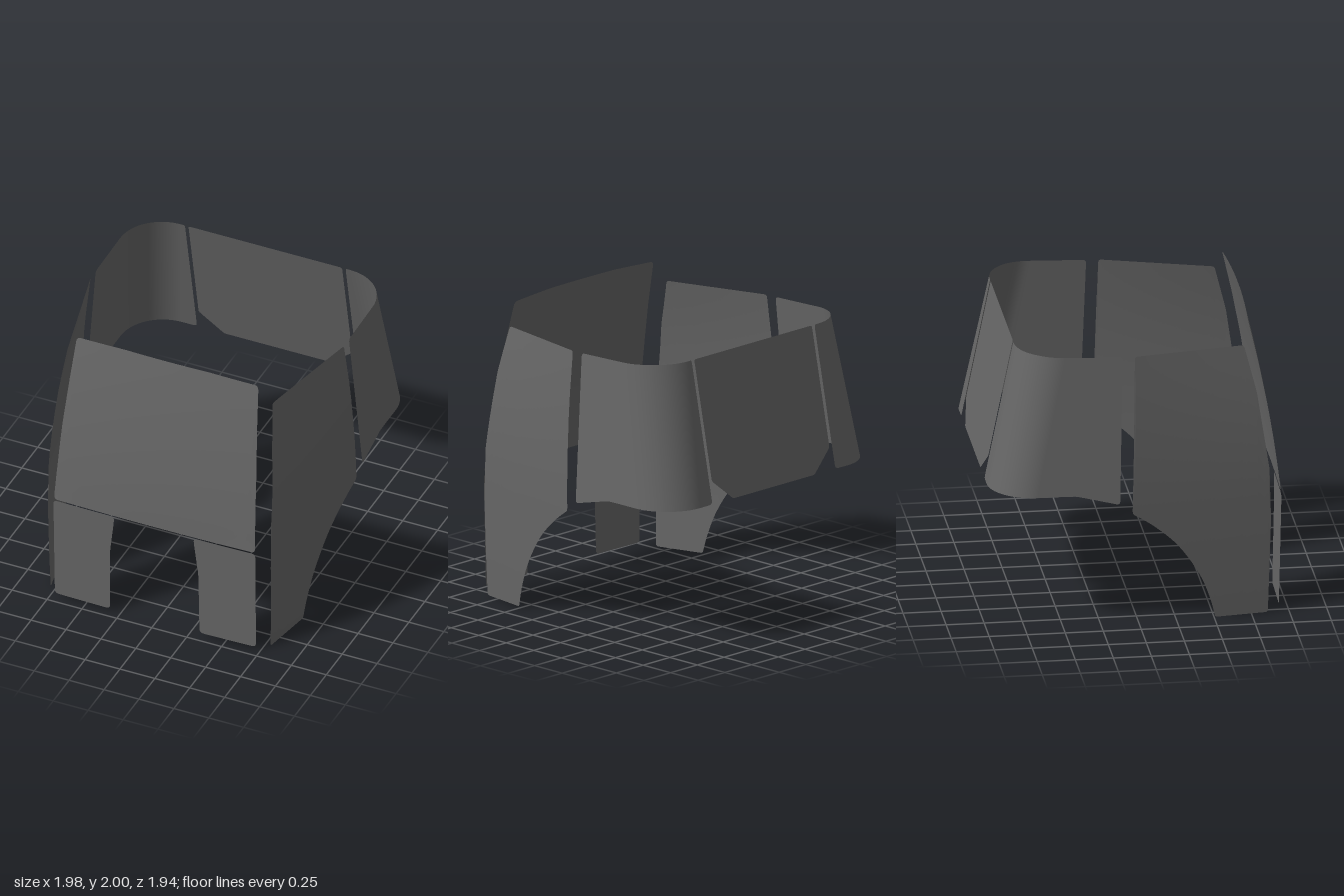
import * as THREE from 'three';

const material = new THREE.MeshStandardMaterial({ color: 0x666666, side: THREE.DoubleSide });

// Softens every corner of a closed 2D outline over distance d
function roundOutline(corners, d) {
  const pts = corners.map(([a, b]) => new THREE.Vector2(a, b));
  const out = [];
  pts.forEach((p, i) => {
    const prev = pts[(i + pts.length - 1) % pts.length];
    const next = pts[(i + 1) % pts.length];
    const cut = q => p.clone().lerp(q, Math.min(0.45, d / p.distanceTo(q)));
    out.push(...new THREE.QuadraticBezierCurve(cut(prev), p, cut(next)).getPoints(4));
  });
  return out;
}

// Lowest and highest point of the outline at column s
function span(outline, s) {
  let lo = Infinity, hi = -Infinity;
  outline.forEach((a, i) => {
    const b = outline[(i + 1) % outline.length];
    if (s < Math.min(a.x, b.x) - 1e-6 || s > Math.max(a.x, b.x) + 1e-6) return;
    const flat = Math.abs(b.x - a.x) < 1e-6;
    const ys = flat ? [a.y, b.y] : [a.y + (b.y - a.y) * (s - a.x) / (b.x - a.x)];
    lo = Math.min(lo, ...ys);
    hi = Math.max(hi, ...ys);
  });
  return [lo, hi];
}

// Thin pane: fills the outline with a grid and bends it by warp(s, y) => [x, y, z]
function pane(name, corners, warp, radius = 0.03, columns = 30, rows = 16) {
  const outline = roundOutline(corners, radius);
  const ss = outline.map(p => p.x);
  const min = Math.min(...ss), max = Math.max(...ss);
  for (let i = 1; i < columns; i++) ss.push(min + (max - min) * i / columns);
  ss.sort((a, b) => a - b);
  const cols = ss.filter((s, i) => i === 0 || s - ss[i - 1] > 1e-5);

  const positions = [], index = [];
  cols.forEach((s, i) => {
    const [lo, hi] = span(outline, s);
    for (let j = 0; j <= rows; j++) {
      positions.push(...warp(s, lo + (hi - lo) * j / rows));
      if (i === 0 || j === 0) continue;
      const d = i * (rows + 1) + j, c = d - 1, b = d - rows - 1, a = b - 1;
      index.push(a, c, d, a, d, b);
    }
  });
  const geometry = new THREE.BufferGeometry();
  geometry.setAttribute('position', new THREE.Float32BufferAttribute(positions, 3));
  geometry.setIndex(index);
  geometry.computeVertexNormals();
  const mesh = new THREE.Mesh(geometry, material);
  mesh.name = name;
  return mesh;
}

// Front surface: leans back above y = 0.8, slightly bowed across
function frontWarp(x, y) {
  const t = y - 0.8;
  const z = t > 0 ? 0.97 - 0.09 * t - 0.064 * t * t : 0.97 + 0.022 * t;
  const bow = t > 0 ? 0.027 + 0.028 * t : 0.022;
  return [x, y, z - bow * x * x];
}

// Side surface: tapers forward, curves inward above and below y = 0.8
function sideWarp(z, y) {
  const up = Math.max(0, (y - 0.8) / 1.06), down = Math.max(0, (0.8 - y) / 0.8);
  return [0.974 - 0.2 * z - (0.074 + 0.04 * z) * up * up - 0.015 * down * down, y, z];
}

const rearZ = y => -0.975 + 0.19 * (y - 0.945) / 0.94;

// Rear corner: straight side (s is -z), quarter turn, short straight back
function cornerWarp(s, y) {
  const R = 0.3, x = 0.985 - 0.08 * (y - 0.945) / 0.94, zb = rearZ(y);
  if (s < 0.43) return [x, y, -s];
  if (s < 0.5) return [x, y, THREE.MathUtils.lerp(-0.43, zb + R, (s - 0.43) / 0.07)];
  if (s < 1) {
    const a = (s - 0.5) * Math.PI;
    return [x - R + R * Math.cos(a), y, zb + R - R * Math.sin(a)];
  }
  return [THREE.MathUtils.lerp(x - R, 0.575, (s - 1) / 0.1), y, zb];
}

export function createModel() {
  const group = new THREE.Group();
  group.name = 'cabGlazing';

  group.add(pane('windscreen', [
    [-0.72, 0.795], [0.72, 0.795], [0.695, 1.35], [0.65, 1.985],
    [0.3, 2], [-0.3, 2], [-0.65, 1.985], [-0.695, 1.35],
  ], frontWarp));

  group.add(pane('rearWindow', [
    [-0.55, 1.885], [-0.55, 1.09], [-0.38, 0.945], [0.38, 0.945], [0.55, 1.09], [0.55, 1.885],
  ], (x, y) => [x, y, rearZ(y)], 0.015));

  const lowerOutline = [[0.285, 0.785], [0.287, 0.74], [0.316, 0.5], [0.32, 0.025], [0.72, 0.025], [0.723, 0.785]];
  // Wheel arch cut-out along the lower rear of the side window
  const arch = new THREE.SplineCurve([
    [-0.055, 0.8], [0.075, 0.71], [0.22, 0.58], [0.325, 0.445], [0.415, 0.29], [0.475, 0.13], [0.505, 0.01],
  ].map(([z, y]) => new THREE.Vector2(z, y))).getPoints(18).map(p => [p.x, p.y]);
  const sideOutline = [
    [0.86, 0], [0.88, 0.65], [0.87, 1], [0.79, 1.53], [0.71, 1.845], [-0.03, 1.865], ...arch,
  ];
  const cornerOutline = [[0.11, 1.866], [0.137, 0.87], [0.43, 0.942], [1.1, 0.945], [1.1, 1.885], [0.7, 1.885]];

  for (const [side, sign] of [['left', 1], ['right', -1]]) {
    const mirrored = warp => (s, y) => {
      const [x, yy, z] = warp(s, y);
      return [sign * x, yy, z];
    };
    group.add(
      pane(side + 'LowerFrontWindow', lowerOutline, mirrored(frontWarp)),
      pane(side + 'SideWindow', sideOutline, mirrored(sideWarp), 0.02),
      pane(side + 'RearCornerWindow', cornerOutline, mirrored(cornerWarp), 0.025, 60),
    );
  }
  return group;
}
